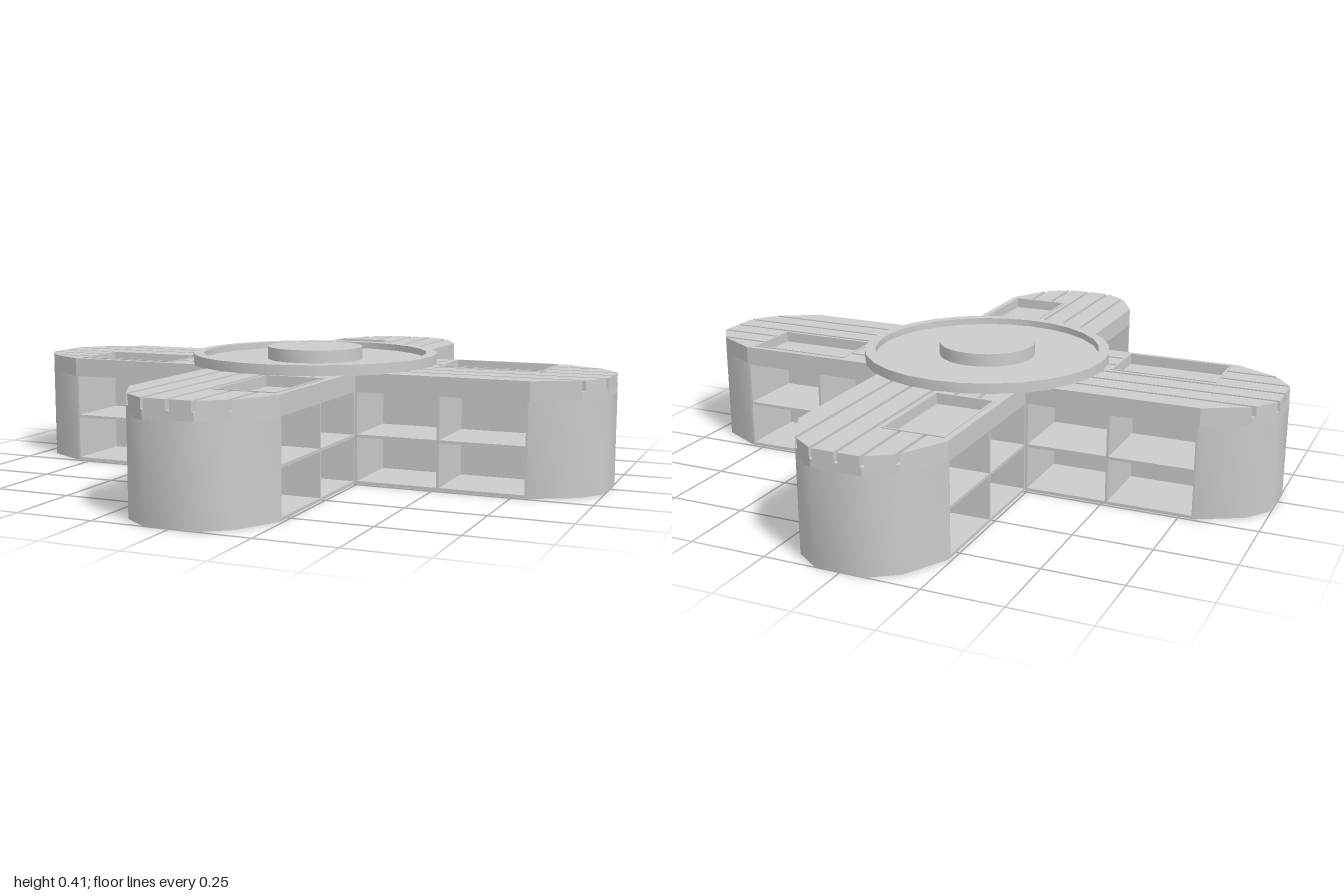
import * as THREE from 'three';
import { toCreasedNormals } from 'three/addons/utils/BufferGeometryUtils.js';

const material = new THREE.MeshStandardMaterial({ color: 0xcccccc, side: THREE.DoubleSide });
const W = 0.24;          // half width of an arm
const CABINET = 0.79;    // where the rounded end cabinet starts
const OUTLINE = [[0.08, 1], [0.165, 0.94], [W, 0.8]]; // faceted tip, half
const TRAY = { x0: 0.02, x1: 0.22, z0: 0.43, z1: 0.78 };

// z of the arm's tip at a given x
function tipAt(x) {
  const a = Math.abs(x);
  if (a <= OUTLINE[0][0]) return 1;
  const i = a <= OUTLINE[1][0] ? 0 : 1;
  const [xa, za] = OUTLINE[i], [xb, zb] = OUTLINE[i + 1];
  return za + (zb - za) * (a - xa) / (xb - xa);
}

// shape in plan view; z is stored negated so the extrusion rises along +y
const plan = (points) => new THREE.Shape(points.map(([x, z]) => new THREE.Vector2(x, -z)));

function extrudeUp(shape, y0, y1) {
  const geometry = new THREE.ExtrudeGeometry(shape, { depth: y1 - y0, bevelEnabled: false });
  return geometry.rotateX(-Math.PI / 2).translate(0, y0, 0);
}

function add(parent, name, geometry) {
  const mesh = new THREE.Mesh(geometry, material);
  mesh.name = name;
  parent.add(mesh);
}

function box(parent, name, x0, x1, y0, y1, z0, z1) {
  add(parent, name, new THREE.BoxGeometry(x1 - x0, y1 - y0, z1 - z0)
    .translate((x0 + x1) / 2, (y0 + y1) / 2, (z0 + z1) / 2));
}

// lengthwise strip, clipped by the faceted tip when z1 is left out
function strip(x0, x1, z0, z1) {
  if (z1 !== undefined) return plan([[x0, z0], [x1, z0], [x1, z1], [x0, z1]]);
  const corners = OUTLINE.flatMap(([x, z]) => [[x, z], [-x, z]])
    .filter(([x]) => x > x0 + 1e-4 && x < x1 - 1e-4)
    .sort((a, b) => b[0] - a[0]);
  return plan([[x0, z0], [x1, z0], [x1, tipAt(x1)], ...corners, [x0, tipAt(x0)]]);
}

function createArm() {
  const arm = new THREE.Group();
  arm.name = 'arm';

  // rounded end cabinet
  add(arm, 'endCabinet', toCreasedNormals(extrudeUp(strip(-W, W, CABINET), 0, 0.3), 0.7));

  // open shelving on both sides of a central spine
  box(arm, 'shelfFloor', -W, W, 0, 0.01, W, CABINET);
  box(arm, 'shelfBoard', -W, W, 0.15, 0.16, W, CABINET);
  box(arm, 'shelfSpine', -0.005, 0.005, 0.01, 0.3, W, CABINET);
  for (const z of [W + 0.004, 0.515]) {
    box(arm, 'shelfPartition', -W, W, 0.01, 0.3, z - 0.004, z + 0.004);
  }

  // counter base, then planks split by narrow grooves
  add(arm, 'counterBase', extrudeUp(strip(-W, W, W), 0.295, 0.325));
  const groove = 0.006;
  for (let i = 0; i < 6; i++) {
    const x0 = -W + i * 0.08 + (i > 0 ? groove : 0);
    const x1 = -W + (i + 1) * 0.08 - (i < 5 ? groove : 0);
    const cuts = [x0, TRAY.x0, TRAY.x1, x1].filter((x) => x >= x0 && x <= x1);
    for (let c = 0; c + 1 < cuts.length; c++) {
      const [a, b] = [cuts[c], cuts[c + 1]];
      const middle = (a + b) / 2;
      const pieces = middle > TRAY.x0 && middle < TRAY.x1
        ? [strip(a, b, W, TRAY.z0), strip(a, b, TRAY.z1)]
        : [strip(a, b, W)];
      for (const piece of pieces) add(arm, 'plank', extrudeUp(piece, 0.325, 0.357));
    }
  }

  // thin frame round the sunken tray
  const frame = strip(TRAY.x0, TRAY.x1, TRAY.z0, TRAY.z1);
  const t = 0.006;
  frame.holes.push(strip(TRAY.x0 + t, TRAY.x1 - t, TRAY.z0 + t, TRAY.z1 - t));
  add(arm, 'trayFrame', extrudeUp(frame, 0.325, 0.36));
  return arm;
}

export function createModel() {
  const model = new THREE.Group();
  model.name = 'crossShapedCounter';

  for (let i = 0; i < 4; i++) {
    const arm = createArm();
    arm.rotation.y = i * Math.PI / 2;
    model.add(arm);
  }

  // covered centre, open below
  box(model, 'centreDeck', -W, W, 0.295, 0.355, -W, W);

  // round hub with a raised rim and a low knob
  const profile = [[0, 0.355], [0.41, 0.355], [0.41, 0.39], [0.375, 0.39], [0.375, 0.368],
    [0.16, 0.368], [0.16, 0.41], [0, 0.41]].map(([r, y]) => new THREE.Vector2(r, y));
  add(model, 'hub', toCreasedNormals(new THREE.LatheGeometry(profile, 28), 0.5));
  return model;
}
